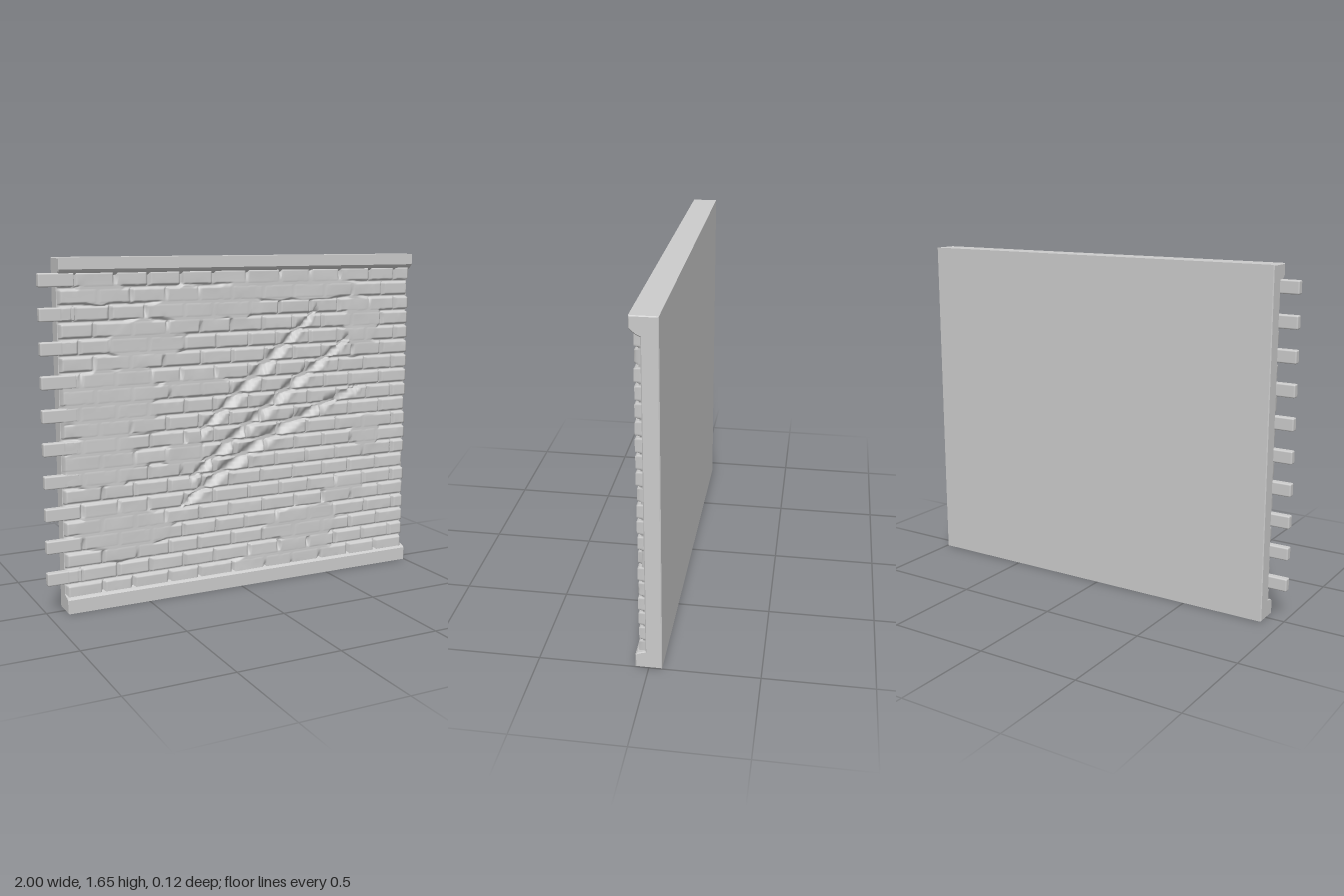
import * as THREE from 'three';
import { RoundedBoxGeometry } from 'three/addons/geometries/RoundedBoxGeometry.js';

const LEFT = -0.91, RIGHT = 1, HEIGHT = 1.655;
const ROWS = 20, PITCH = 0.0767, BASE = 0.06, BRICK = 0.1736;
const MORTAR = 0.024, FACE = 0.044;
const smooth = THREE.MathUtils.smoothstep;

// repeatable value in 0..1 for a pair of whole numbers
function hash(a, b) {
  const s = Math.sin(a * 127.1 + b * 311.7) * 43758.5453;
  return s - Math.floor(s);
}

// soft value noise in 0..1
function noise(x, y) {
  const i = Math.floor(x), j = Math.floor(y);
  const u = smooth(x - i, 0, 1), v = smooth(y - j, 0, 1);
  const low = hash(i, j) * (1 - u) + hash(i + 1, j) * u;
  const high = hash(i, j + 1) * (1 - u) + hash(i + 1, j + 1) * u;
  return low * (1 - v) + high * v;
}

// plaster patches that fill the joints: x, y, radius x, radius y
const patches = [
  [-0.66, 1.0, 0.26, 0.2], [-0.5, 1.27, 0.2, 0.1], [-0.72, 0.7, 0.22, 0.12],
  [-0.2, 1.42, 0.32, 0.1], [0.3, 1.5, 0.34, 0.07], [0.7, 1.3, 0.12, 0.17],
  [-0.62, 0.37, 0.25, 0.13], [0.38, 0.29, 0.26, 0.1], [0.25, 0.12, 0.3, 0.05],
  [-0.7, 1.5, 0.12, 0.06], [0.75, 0.72, 0.1, 0.1], [-0.25, 1.04, 0.2, 0.06],
  [0.62, 0.45, 0.12, 0.06], [-0.3, 0.7, 0.12, 0.08],
];

function plaster(x, y) {
  let m = 0;
  for (const [px, py, rx, ry] of patches) {
    const r = Math.hypot((x - px) / rx, (y - py) / ry) + (noise(x * 14, y * 22) - 0.5) * 0.5;
    m = Math.max(m, 1 - smooth(r, 0.85, 1.1));
  }
  return m;
}

// slanting gouges: start x, y, end x, y, bow
const gouges = [
  [-0.21, 0.81, 0.43, 1.38, 0.0],
  [-0.27, 0.58, 0.62, 1.23, 0.015],
  [-0.32, 0.45, 0.7, 0.98, 0.05],
];

// height change made by the gouges
function gouge(x, y) {
  let dz = 0;
  for (const [ax, ay, bx, by, bow] of gouges) {
    const dx = bx - ax, dy = by - ay, len = Math.hypot(dx, dy);
    const t = ((x - ax) * dx + (y - ay) * dy) / (len * len);
    if (t <= 0 || t >= 1) continue;
    const d = ((y - ay) * dx - (x - ax) * dy) / len - bow * Math.sin(Math.PI * t)
      + (noise(x * 45, y * 45) - 0.5) * 0.012;
    const w = 0.012 + 0.026 * Math.sin(Math.PI * Math.pow(t, 0.8));
    const cut = Math.max(0, 1 - Math.abs(d) / w);
    const lip = Math.max(0, 1 - Math.abs(d + w * 1.2) / (w * 0.5));
    dz += -0.026 * smooth(cut, 0, 0.9) + 0.005 * lip;
  }
  return dz;
}

// relief of the brick face at a point
function relief(x, y) {
  const row = Math.min(ROWS - 1, Math.floor((y - BASE) / PITCH));
  const start = row % 2 ? -1 : LEFT;
  const joint = j => start + j * BRICK + (j > 0 ? (hash(row, j) - 0.5) * 0.03 : 0);
  let j = Math.floor((x - start) / BRICK);
  if (x < joint(j)) j--;
  else if (x >= joint(j + 1)) j++;
  const dx = Math.min(x - joint(j), joint(j + 1) - x);
  const dy = PITCH / 2 - Math.abs(y - BASE - (row + 0.5) * PITCH);
  const wobble = (noise(x * 30, y * 30) - 0.5) * 0.003;
  const inside = smooth(Math.min(dx, dy) + wobble, 0.004, 0.0105);
  const fill = 0.95 * plaster(x, y);
  const face = FACE + (hash(row + 40, j) - 0.5) * 0.004 * (1 - fill) + (noise(x * 9, y * 16) - 0.5) * 0.003;
  const z = MORTAR + (face - MORTAR) * Math.max(inside, fill);
  return Math.max(0.019, z + gouge(x, y));
}

// front relief: a plane whose rows line up with the brick courses
function brickFace() {
  const steps = [0, 0.0045, 0.0075, 0.0105, 0.017, 0.0384, 0.0597, 0.0662, 0.0692, 0.0722];
  const nx = 310, ny = ROWS * steps.length;
  const geo = new THREE.PlaneGeometry(1, 1, nx, ny);
  const p = geo.attributes.position;
  for (let i = 0; i < p.count; i++) {
    const col = i % (nx + 1), k = ny - Math.floor(i / (nx + 1));
    const x = THREE.MathUtils.lerp(LEFT + 0.002, RIGHT - 0.008, col / nx);
    const y = BASE + Math.floor(k / steps.length) * PITCH + steps[k % steps.length];
    const edge = col === 0 || col === nx;
    p.setXYZ(i, x, y, edge ? 0.01 : relief(x, y));
  }
  geo.computeVertexNormals();
  return geo;
}

// slab section with a projecting foot and cap, given as [z, y]
function slab() {
  const b = 0.004;
  const profile = [
    [-0.06, 0], [0.06, 0], [0.06, 0.066], [0.052, 0.074], [0.034, 0.08], [0.014, 0.086],
    [0.014, 1.568], [0.032, 1.576], [0.052, 1.592], [0.06, 1.602], [0.06, HEIGHT], [-0.06, HEIGHT],
  ];
  const shape = new THREE.Shape(profile.map(([z, y]) => new THREE.Vector2(-z, y)).reverse());
  const geo = new THREE.ExtrudeGeometry(shape, {
    depth: RIGHT - LEFT - 2 * b, bevelEnabled: true, bevelThickness: b, bevelSize: b, bevelOffset: -b, bevelSegments: 1,
  });
  geo.rotateY(Math.PI / 2);
  geo.translate(LEFT + b, 0, 0);
  return geo;
}

export function createModel() {
  const group = new THREE.Group();
  const material = new THREE.MeshStandardMaterial({ color: 0xcccccc });
  const add = (name, geo, x = 0, y = 0, z = 0) => {
    const mesh = new THREE.Mesh(geo, material);
    mesh.name = name;
    mesh.position.set(x, y, z);
    group.add(mesh);
  };

  add('wallSlab', slab());
  add('brickFace', brickFace());

  // every second course sticks out on one side to interlock with the next wall
  const tooth = new RoundedBoxGeometry(0.166, 0.062, 0.036, 2, 0.007);
  for (let row = 1; row < ROWS; row += 2) {
    add('toothBrick', tooth, -0.917, BASE + (row + 0.5) * PITCH, 0.027);
  }
  return group;
}
